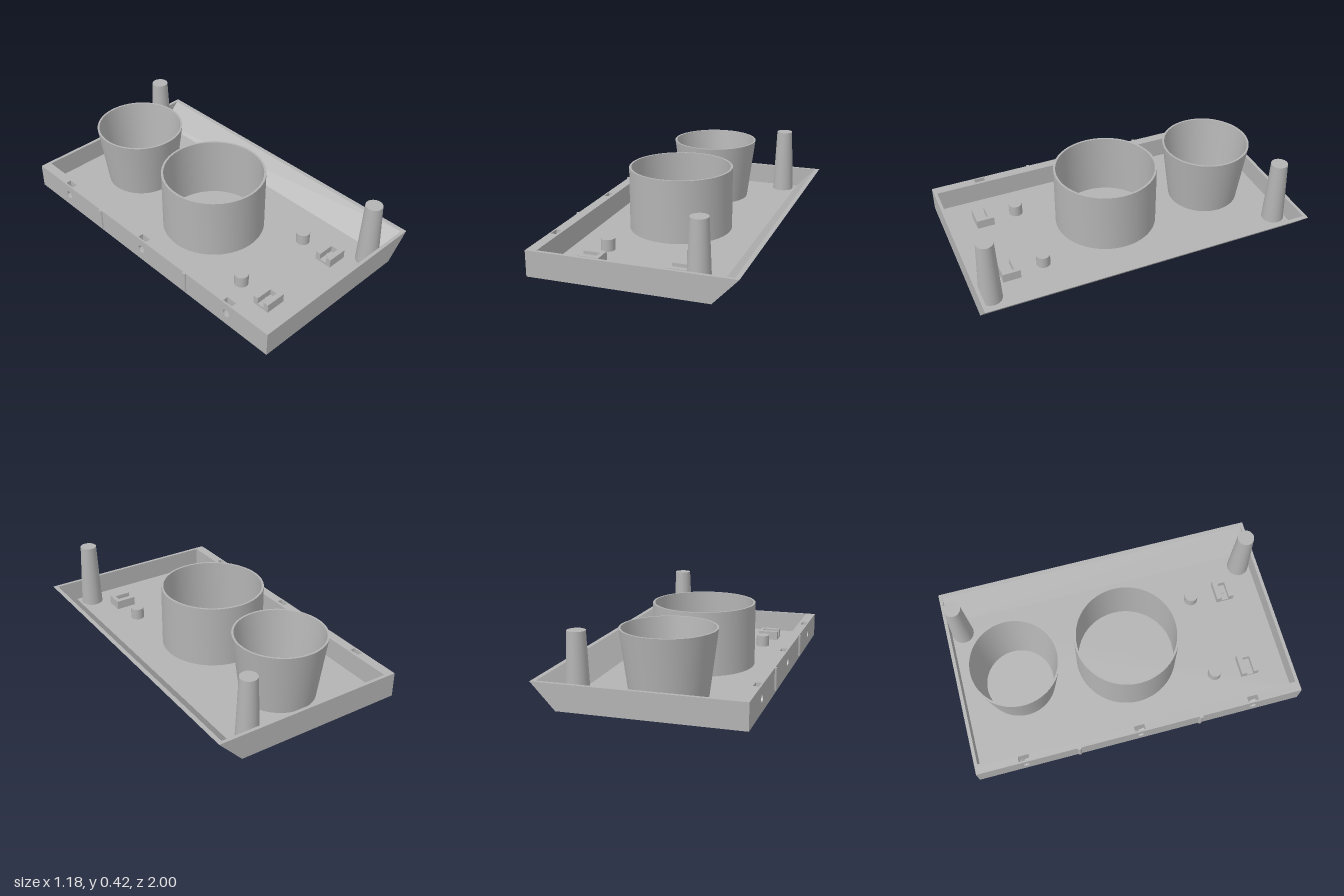
import * as THREE from 'three';
import { toCreasedNormals } from 'three/addons/utils/BufferGeometryUtils.js';

const FLOOR = 0.02, RIM = 0.15, END = 0.98;

export function createModel() {
  const group = new THREE.Group();
  const grey = new THREE.MeshStandardMaterial({ color: 0xb3b3b3 });
  grey.name = 'grey plastic';

  const add = (name, geometry, x = 0, y = 0, z = 0) => {
    const mesh = new THREE.Mesh(geometry, grey);
    mesh.name = name;
    mesh.position.set(x, y, z);
    group.add(mesh);
    return mesh;
  };
  const shapeOf = (points) => new THREE.Shape(points.map(([x, y]) => new THREE.Vector2(x, y)));
  const punch = (shape, x, y, r) => shape.holes.push(new THREE.Path().absarc(x, y, r, 0, Math.PI * 2, true));
  const extrude = (shape, depth) => toCreasedNormals(
    new THREE.ExtrudeGeometry(shape, { depth, bevelEnabled: false, curveSegments: 24 }), 0.6);

  // Shape drawn in x and -z, extruded upwards
  const extrudeUp = (shape, height) => extrude(shape, height).rotateX(-Math.PI / 2);
  // Shape drawn in -z and y, extruded along +x
  const extrudeAcross = (shape, width) => extrude(shape, width).rotateY(Math.PI / 2);

  const postX = 0.358, postZ = 0.91;

  // Tray floor, with a round recess below each post
  const floor = shapeOf([[-0.52, -END], [0.44, -END], [0.44, END], [-0.52, END]]);
  for (const s of [-1, 1]) punch(floor, postX, s * postZ, 0.065);
  add('trayFloor', extrudeUp(floor, FLOOR));

  // End walls and the sloping long wall
  const endProfile = shapeOf([[-0.58, 0], [0.451, 0], [0.592, RIM], [-0.58, RIM]]);
  add('frontWall', extrude(endProfile, 1 - END), 0, 0, END);
  add('backWall', extrude(endProfile, 1 - END), 0, 0, -1);
  const slope = shapeOf([[0.44, 0], [0.451, 0], [0.592, RIM], [0.565, RIM], [0.44, FLOOR]]);
  add('slopingWall', extrude(slope, 2 * END), 0, 0, -END);

  // Thick long wall in three layers: drilled skin, slotted core, plain lining
  const slotZ = [-0.71, -0.005, 0.7], half = 0.0325, holeY = 0.08;
  const skin = shapeOf([[-END, 0], [END, 0], [END, RIM], [-END, RIM]]);
  for (const z of slotZ) punch(skin, -z, holeY, 0.024);
  add('drilledWallSkin', extrudeAcross(skin, 0.01), -0.58);

  const core = [[-END, 0], [END, 0], [END, RIM]];
  for (const z of slotZ) {
    core.push([-z + half, RIM], [-z + half, holeY - 0.019], [-z, holeY - 0.0375],
      [-z - half, holeY - 0.019], [-z - half, RIM]);
  }
  core.push([-END, RIM]);
  add('slottedWallCore', extrudeAcross(shapeOf(core), 0.032), -0.57);
  add('wallLining', new THREE.BoxGeometry(0.018, RIM, 2 * END), -0.529, RIM / 2, 0);

  // Slim upright ribs on the outside of the thick wall
  for (const z of [-0.38, 0.37]) {
    add('wallRib', new THREE.CylinderGeometry(0.012, 0.012, RIM - FLOOR, 16), -0.58, (RIM + FLOOR) / 2 - 0.0005, z);
  }

  // Open cups: outer wall up, rim, inner wall down
  const cup = (name, bottom, top, wall, z) => {
    const profile = [[bottom, FLOOR], [top, 0.4], [top - wall, 0.4], [bottom - wall, FLOOR]]
      .map(([r, y]) => new THREE.Vector2(r, y));
    add(name, toCreasedNormals(new THREE.LatheGeometry(profile, 64), 0.6), -0.05, 0, z);
  };
  cup('straightCup', 0.31, 0.31, 0.013, 0.047);
  cup('taperedCup', 0.218, 0.268, 0.012, -0.63);

  // Tapered posts beside the sloping wall
  for (const s of [-1, 1]) {
    add('post', new THREE.CylinderGeometry(0.05, 0.067, 0.4, 32), postX, 0.22, s * postZ);
  }

  // Short pegs and slotted clip blocks
  const clip = shapeOf([[-0.063, -0.054], [0.063, -0.054], [0.063, 0.054], [-0.063, 0.054],
    [-0.063, 0.022], [0.038, 0.022], [0.038, -0.022], [-0.063, -0.022]]);
  for (const x of [-0.31, 0.208]) {
    add('peg', new THREE.CylinderGeometry(0.041, 0.041, 0.07, 24), x, 0.055, 0.547);
    add('clipBase', new THREE.BoxGeometry(0.126, 0.015, 0.108), x, 0.0275, 0.757);
    add('clipBlock', extrudeUp(clip, 0.04), x, 0.035, 0.757);
    add('clipStud', new THREE.CylinderGeometry(0.02, 0.02, 0.008, 20), x, 0.039, 0.757);
  }
  return group;
}
